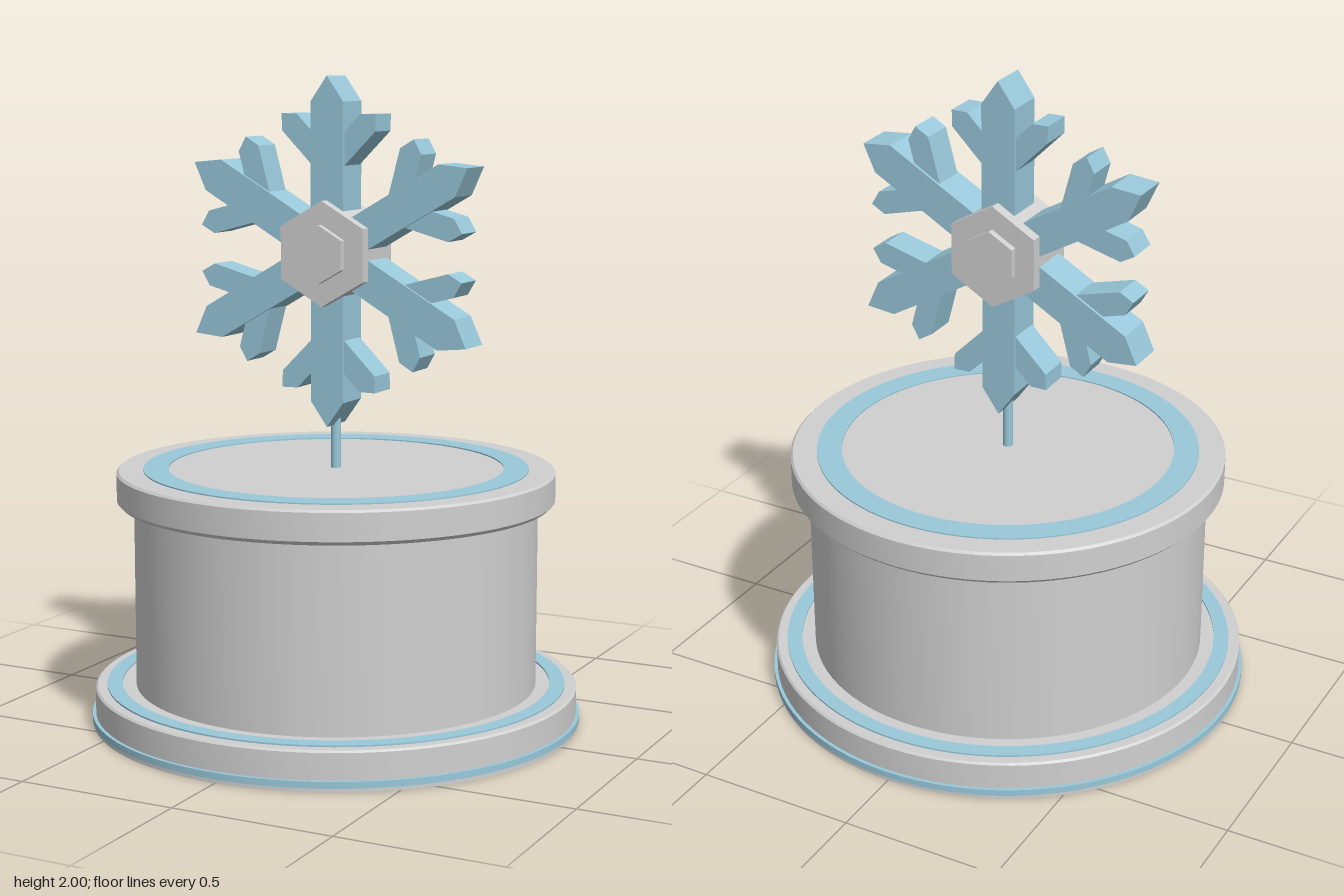
import * as THREE from 'three';
import { toCreasedNormals } from 'three/addons/utils/BufferGeometryUtils.js';

const FLAKE_Y = 1.465;

export function createModel() {
  const model = new THREE.Group();
  model.name = 'snowflakeTrophy';
  const silver = new THREE.MeshStandardMaterial({ color: 0xd0d0d0 });
  silver.name = 'silver grey';
  const ice = new THREE.MeshStandardMaterial({ color: 0x99c8da });
  ice.name = 'ice blue';

  const add = (parent, name, geometry, material) => {
    const mesh = new THREE.Mesh(geometry, material);
    mesh.name = name;
    parent.add(mesh);
    return mesh;
  };
  // Turned part: profile runs from the bottom up, [radius, height]
  const turned = (name, profile, material) => {
    const points = profile.map(([r, y]) => new THREE.Vector2(r, y));
    return add(model, name, toCreasedNormals(new THREE.LatheGeometry(points, 96), 0.5), material);
  };
  // Thin raised ring with a rectangular section
  const ring = (name, inner, outer, y, height) => turned(name, [
    [inner, y], [outer, y], [outer, y + height], [inner, y + height], [inner, y],
  ], ice);

  // Stepped round pedestal
  turned('baseFoot', [[0, 0], [0.762, 0], [0.762, 0.014], [0, 0.014]], silver);
  turned('baseTrim', [[0.75, 0.012], [0.765, 0.012], [0.765, 0.032], [0.75, 0.032]], ice);
  turned('basePlate', [
    [0.754, 0.03], [0.754, 0.113], [0.748, 0.119], [0, 0.119],
  ], silver);
  ring('baseRing', 0.67, 0.718, 0.115, 0.009);
  turned('drum', [[0.627, 0.115], [0.627, 0.705]], silver);
  turned('cap', [
    [0, 0.692], [0.668, 0.692], [0.68, 0.704], [0.68, 0.788], [0.673, 0.795], [0, 0.795],
  ], silver);
  ring('capRing', 0.52, 0.598, 0.791, 0.008);

  // Stem that carries the snowflake
  const stem = add(model, 'stem', new THREE.CylinderGeometry(0.016, 0.016, 0.26, 20), ice);
  stem.position.y = 0.9;

  // Pointed bar growing along +y from the origin
  const bar = (halfWidth, shoulder, tip, depth) => {
    const shape = new THREE.Shape([
      [-halfWidth, 0], [halfWidth, 0], [halfWidth, shoulder], [0, tip], [-halfWidth, shoulder],
    ].map(([x, y]) => new THREE.Vector2(x, y)));
    return new THREE.ExtrudeGeometry(shape, { depth, bevelEnabled: false })
      .translate(0, 0, -depth / 2);
  };
  const armGeometry = bar(0.055, 0.458, 0.535, 0.124);
  const twigGeometry = bar(0.036, 0.188, 0.225, 0.106);

  const snowflake = new THREE.Group();
  snowflake.name = 'snowflake';
  snowflake.position.y = FLAKE_Y;
  model.add(snowflake);

  // Six arms, each with a mirrored pair of twigs
  for (let i = 0; i < 6; i++) {
    const arm = new THREE.Group();
    arm.name = 'arm' + (i + 1);
    arm.rotation.z = i * Math.PI / 3;
    snowflake.add(arm);
    add(arm, 'armBar', armGeometry, ice);
    for (const side of [-1, 1]) {
      const twig = add(arm, side < 0 ? 'twigRight' : 'twigLeft', twigGeometry, ice);
      twig.position.y = 0.262;
      twig.rotation.z = side * Math.PI / 4;
    }
  }

  // Hexagonal hub with a smaller boss on both faces
  const hexagon = (name, radius, depth) => {
    const shape = new THREE.Shape();
    for (let i = 0; i < 6; i++) {
      const a = Math.PI / 2 + i * Math.PI / 3;
      const x = Math.cos(a) * radius, y = Math.sin(a) * radius;
      if (i) shape.lineTo(x, y); else shape.moveTo(x, y);
    }
    shape.closePath();
    const geometry = new THREE.ExtrudeGeometry(shape, { depth, bevelEnabled: false });
    add(snowflake, name, geometry.translate(0, 0, -depth / 2), silver);
  };
  hexagon('hub', 0.161, 0.196);
  hexagon('hubBoss', 0.089, 0.24);

  return model;
}
